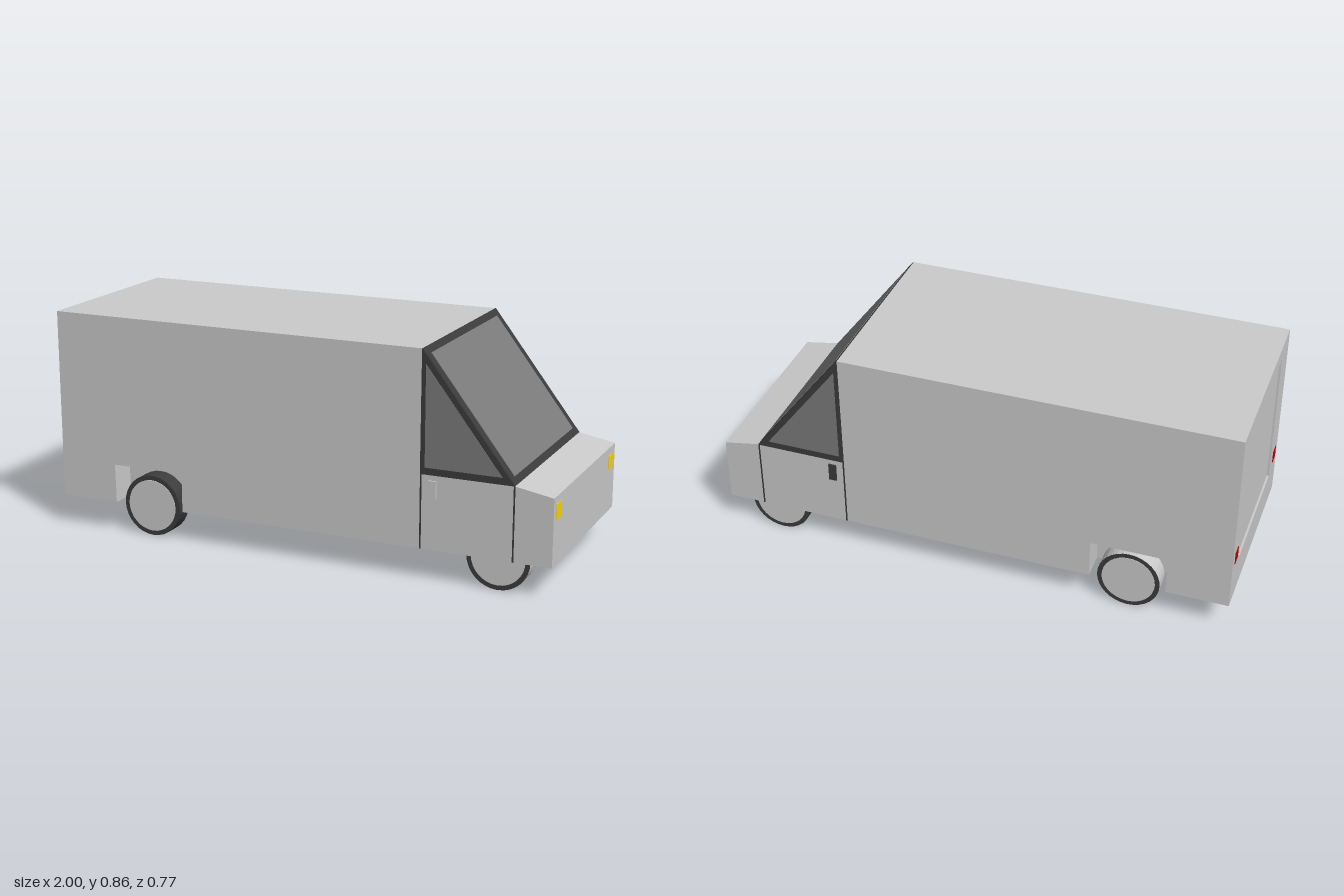
import * as THREE from 'three';

const mat = (color) => new THREE.MeshStandardMaterial({ color, flatShading: true });
const grey = mat(0xcccccc), dark = mat(0x3c3c3c), glass = mat(0x7c7c7c);
const yellow = mat(0xffd700), red = mat(0xbb0000);

const HALF = 0.377; // half width of the body

export function createModel() {
  const van = new THREE.Group();
  van.name = 'van';

  const add = (name, geometry, material, x = 0, y = 0, z = 0) => {
    const mesh = new THREE.Mesh(geometry, material);
    mesh.name = name;
    mesh.position.set(x, y, z);
    van.add(mesh);
    return mesh;
  };
  const box = (name, material, size, pos) => add(name, new THREE.BoxGeometry(...size), material, ...pos);
  const shapeOf = (points) => new THREE.Shape(points.map(([x, y]) => new THREE.Vector2(x, y)));
  const slab = (points, depth) =>
    new THREE.ExtrudeGeometry(shapeOf(points), { depth, bevelEnabled: false });

  // Body: a full-profile core between two outer layers notched by the rear wheel arches
  const BACK = -0.992, INNER = 0.27;
  const upper = [[1, 0.12], [1, 0.375], [0.857, 0.4], [0.505, 0.856], [BACK, 0.856], [BACK, 0.12]];
  const arch = [[-0.762, 0.12], [-0.765, 0.272], [-0.47, 0.272], [-0.47, 0.12]];
  add('bodyCore', slab(upper, 2 * INNER), grey, 0, 0, -INNER);
  for (const z of [INNER, -HALF]) add('bodySide', slab([...upper, ...arch], HALF - INNER), grey, 0, 0, z);

  // Rear wall with a shallow recessed door panel
  const rear = shapeOf([[-HALF, 0.12], [HALF, 0.12], [HALF, 0.856], [-HALF, 0.856]]);
  rear.holes.push(new THREE.Path([[-0.265, 0.26], [-0.265, 0.8], [0.255, 0.8], [0.255, 0.26]]
    .map(([z, y]) => new THREE.Vector2(-z, y))));
  const rearGeometry = new THREE.ExtrudeGeometry(rear, { depth: 0.008, bevelEnabled: false });
  rearGeometry.rotateY(Math.PI / 2);
  add('rearDoorFrame', rearGeometry, grey, -1, 0, 0);

  // Windscreen lying on the sloped front
  const slope = Math.atan2(0.456, -0.352);
  const length = Math.hypot(0.456, 0.352);
  box('windscreenFrame', dark, [length, 0.004, 2 * HALF], [0.681, 0.628, 0]).rotation.z = slope;
  box('windscreenGlass', glass, [length * 0.902, 0.008, 0.68], [0.681, 0.628, 0]).rotation.z = slope;

  for (const side of [1, -1]) {
    // Side window with its frame
    const frame = slab([[0.503, 0.4], [0.857, 0.4], [0.505, 0.856]], 0.004);
    const pane = slab([[0.521, 0.426], [0.812, 0.426], [0.521, 0.803]], 0.006);
    add('sideWindowFrame', frame, dark, 0, 0, side * HALF - 0.002);
    add('sideWindowGlass', pane, glass, 0, 0, side * HALF - 0.003);

    // Door seams and handle
    for (const x of [0.506, 0.856]) box('doorSeam', dark, [0.006, 0.28, 0.002], [x, 0.26, side * HALF]);
    box('doorHandle', side > 0 ? grey : dark, [0.03, 0.07, 0.012], [0.551, 0.345, side * (HALF + 0.001)]);

    // Lamps
    const lamp = side > 0 ? 0.058 : 0.052;
    box('headlight', yellow, [0.004, lamp, lamp], [1, 0.318, side * 0.321]);
    box('tailLight', red, [0.004, 0.05, 0.045], [-1, 0.318, side * 0.322]);

    // Wheels: tread, dark rim faces, pale hub discs
    for (const x of [-0.615, 0.795]) {
      const tread = x * side > 0 ? grey : dark;
      const tyre = new THREE.CylinderGeometry(0.12, 0.12, 0.07, 32).rotateX(Math.PI / 2);
      const hub = new THREE.CylinderGeometry(0.102, 0.102, 0.074, 32).rotateX(Math.PI / 2);
      add('tyre', tyre, [tread, dark, dark], x, 0.12, side * 0.32);
      add('hub', hub, grey, x, 0.12, side * 0.32);
    }
  }
  return van;
}
